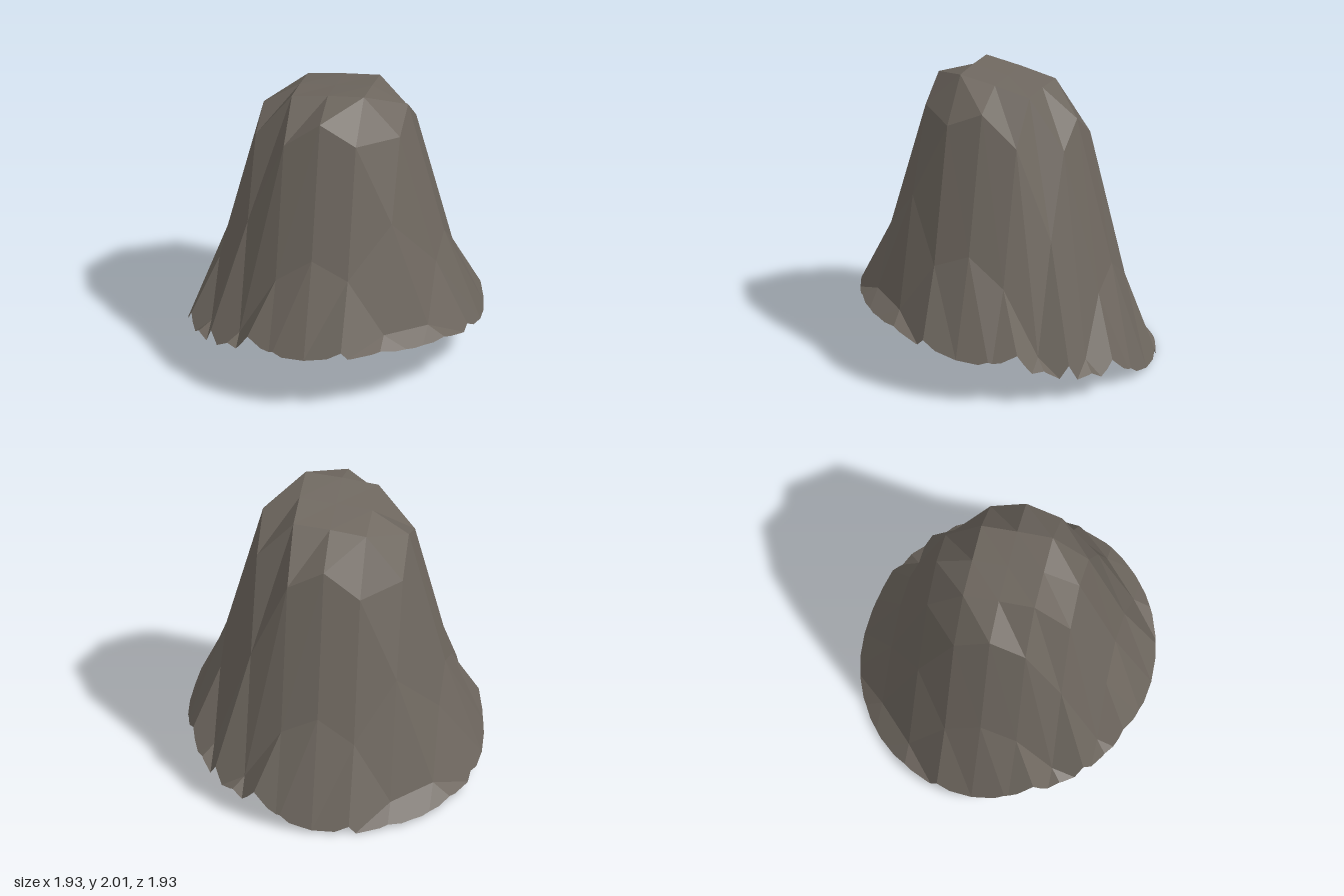
import * as THREE from 'three';

const STEP = 0.241, RADIUS = 0.964, SIDES = 40;

// Height of the mound by distance from its axis: [radius, height]
const PROFILE = [[0, 1.92], [0.24, 1.92], [0.34, 1.915], [0.48, 1.79], [0.537, 1.63],
  [0.68, 1.06], [0.72, 0.86], [0.76, 0.71], [0.868, 0.31], [0.964, 0.19],
  [0.99, 0.165], [1.02, 0.15], [1.075, 0.12], [1.4, 0.08]];

function profileHeight(r) {
  const i = Math.max(1, PROFILE.findIndex(p => p[0] >= r));
  const [r0, h0] = PROFILE[i - 1], [r1, h1] = PROFILE[i];
  return h0 + (h1 - h0) * (r - r0) / (r1 - r0);
}

// Grid point lifted to the mound, which tilts up towards the front left
function gridPoint(i, j) {
  const x = i * STEP, z = j * STEP;
  return new THREE.Vector3(x, profileHeight(Math.hypot(x, z)) + 0.1 * x + 0.2 * z, z);
}

// Trim a polygon to the round outline, one straight side at a time
function trimToOutline(poly) {
  const limit = RADIUS * Math.cos(Math.PI / SIDES);
  for (let k = 0; k < SIDES && poly.length; k++) {
    const a = (k + 0.5) * 2 * Math.PI / SIDES;
    const over = p => p.x * Math.cos(a) + p.z * Math.sin(a) - limit;
    const kept = [];
    poly.forEach((p, n) => {
      const q = poly[(n + 1) % poly.length], dp = over(p), dq = over(q);
      if (dp <= 0) kept.push(p);
      if (dp * dq < 0) kept.push(p.clone().lerp(q, dp / (dp - dq)));
    });
    poly = kept;
  }
  return poly;
}

export function createModel() {
  const points = [];
  const addTriangle = (...corners) => {
    const poly = trimToOutline(corners);
    for (let n = 1; n < poly.length - 1; n++) points.push(poly[0], poly[n], poly[n + 1]);
  };

  // Square grid cells, each split along the same diagonal
  for (let j = -4; j < 4; j++) {
    for (let i = -4; i < 4; i++) {
      const a = gridPoint(i, j), b = gridPoint(i, j + 1);
      const c = gridPoint(i + 1, j + 1), d = gridPoint(i + 1, j);
      addTriangle(a, b, d);
      addTriangle(b, c, d);
    }
  }

  const geometry = new THREE.BufferGeometry().setFromPoints(points);
  geometry.computeVertexNormals();

  // Open shell, seen from inside as well
  const stone = new THREE.MeshStandardMaterial({
    name: 'stone', color: 0x6e675f, flatShading: true, side: THREE.DoubleSide,
  });
  const shell = new THREE.Mesh(geometry, stone);
  shell.name = 'rockMound';

  const group = new THREE.Group();
  group.name = 'rock';
  group.add(shell);
  return group;
}
